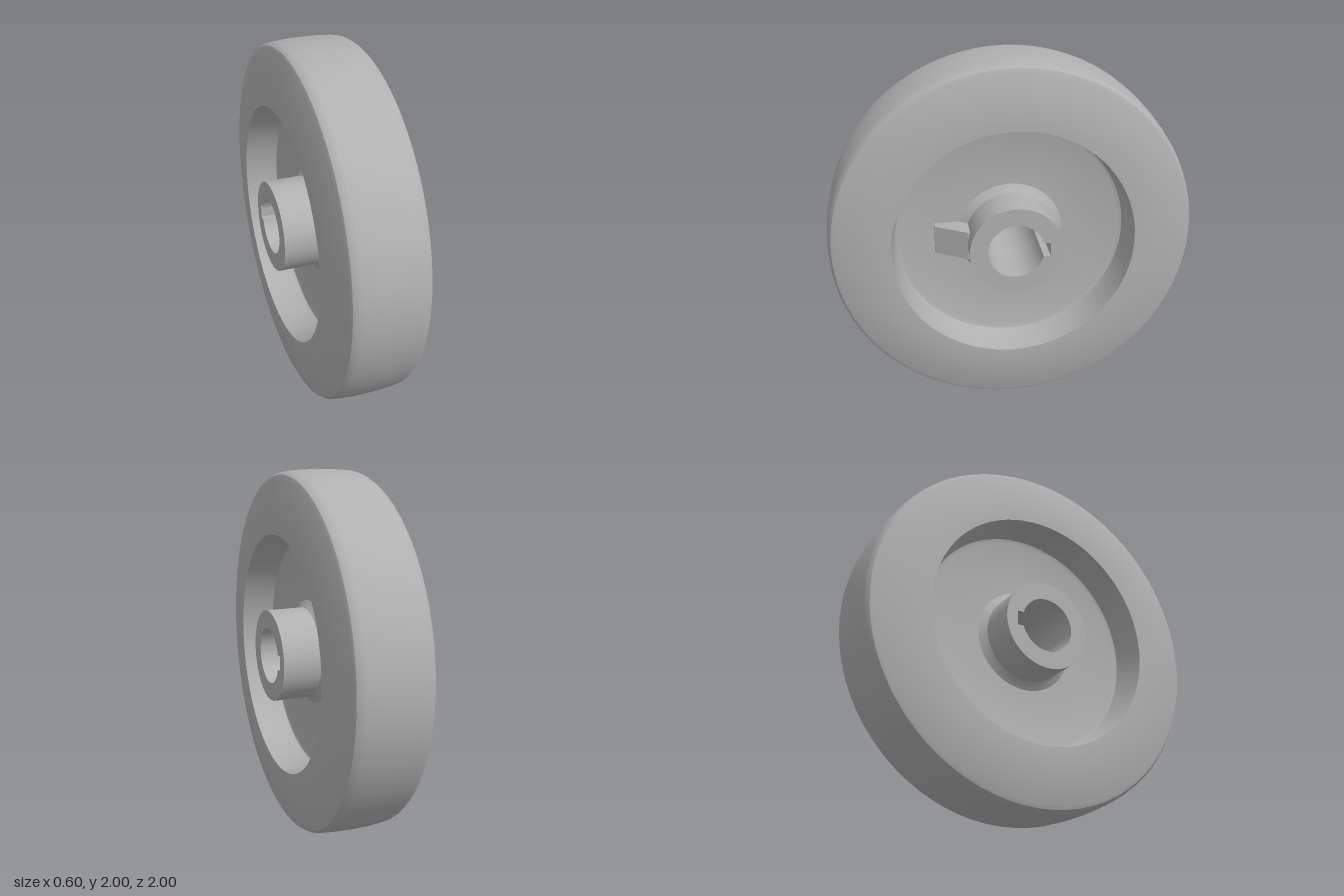
import * as THREE from 'three';
import { toCreasedNormals } from 'three/addons/utils/BufferGeometryUtils.js';

const metal = new THREE.MeshStandardMaterial({ color: 0xb0b0b0 });
metal.name = 'grey metal';

function addPart(group, name, geometry) {
  const mesh = new THREE.Mesh(toCreasedNormals(geometry, 0.5), metal);
  mesh.name = name;
  group.add(mesh);
}

// Rim and web: a half profile of [radius, x], mirrored and turned about the axle
function wheelGeometry() {
  const half = [
    [0.24, 0.1], [0.26, 0.08], [0.29, 0.06],
    [0.61, 0.06], [0.632, 0.068], [0.64, 0.09],
    [0.66, 0.25], [0.74, 0.25],
    [0.955, 0.212], [0.975, 0.203], [0.987, 0.185], [0.992, 0.16], [0.998, 0.08], [1, 0],
  ];
  const left = half.map(([r, x]) => new THREE.Vector2(r, -x));
  const right = half.slice(0, -1).reverse().map(([r, x]) => new THREE.Vector2(r, x));
  return new THREE.LatheGeometry([...left, ...right], 72).rotateZ(-Math.PI / 2);
}

// Hub: a tube whose bore has a keyway towards the back
function hubGeometry() {
  const bore = 0.153, keyHalf = 0.04, keyDepth = 0.185;
  const a = Math.asin(keyHalf / bore);
  const shape = new THREE.Shape().absarc(0, 0, 0.25, 0, Math.PI * 2);
  const hole = new THREE.Path();
  hole.moveTo(keyDepth, -keyHalf);
  hole.lineTo(keyDepth, keyHalf);
  hole.absarc(0, 0, bore, a, Math.PI * 2 - a, false);
  hole.closePath();
  shape.holes.push(hole);
  return new THREE.ExtrudeGeometry(shape, { depth: 0.6, bevelEnabled: false, curveSegments: 48 })
    .translate(0, 0, -0.3)
    .rotateY(Math.PI / 2);
}

// Sloped lug between web and hub, drawn in x and z
function lugGeometry() {
  const width = 0.16;
  const outline = [[0.04, 0.19], [0.04, 0.42], [0.1, 0.42], [0.2, 0.25], [0.2, 0.19]];
  const shape = new THREE.Shape(outline.map(([x, z]) => new THREE.Vector2(x, z)));
  return new THREE.ExtrudeGeometry(shape, { depth: width, bevelEnabled: false })
    .rotateX(Math.PI / 2)
    .translate(0, width / 2, 0);
}

export function createModel() {
  const model = new THREE.Group();
  model.name = 'wheel';
  const parts = new THREE.Group();
  parts.name = 'wheelParts';
  parts.position.y = 1;
  addPart(parts, 'rimAndWeb', wheelGeometry());
  addPart(parts, 'hub', hubGeometry());
  addPart(parts, 'lug', lugGeometry());
  model.add(parts);
  return model;
}
